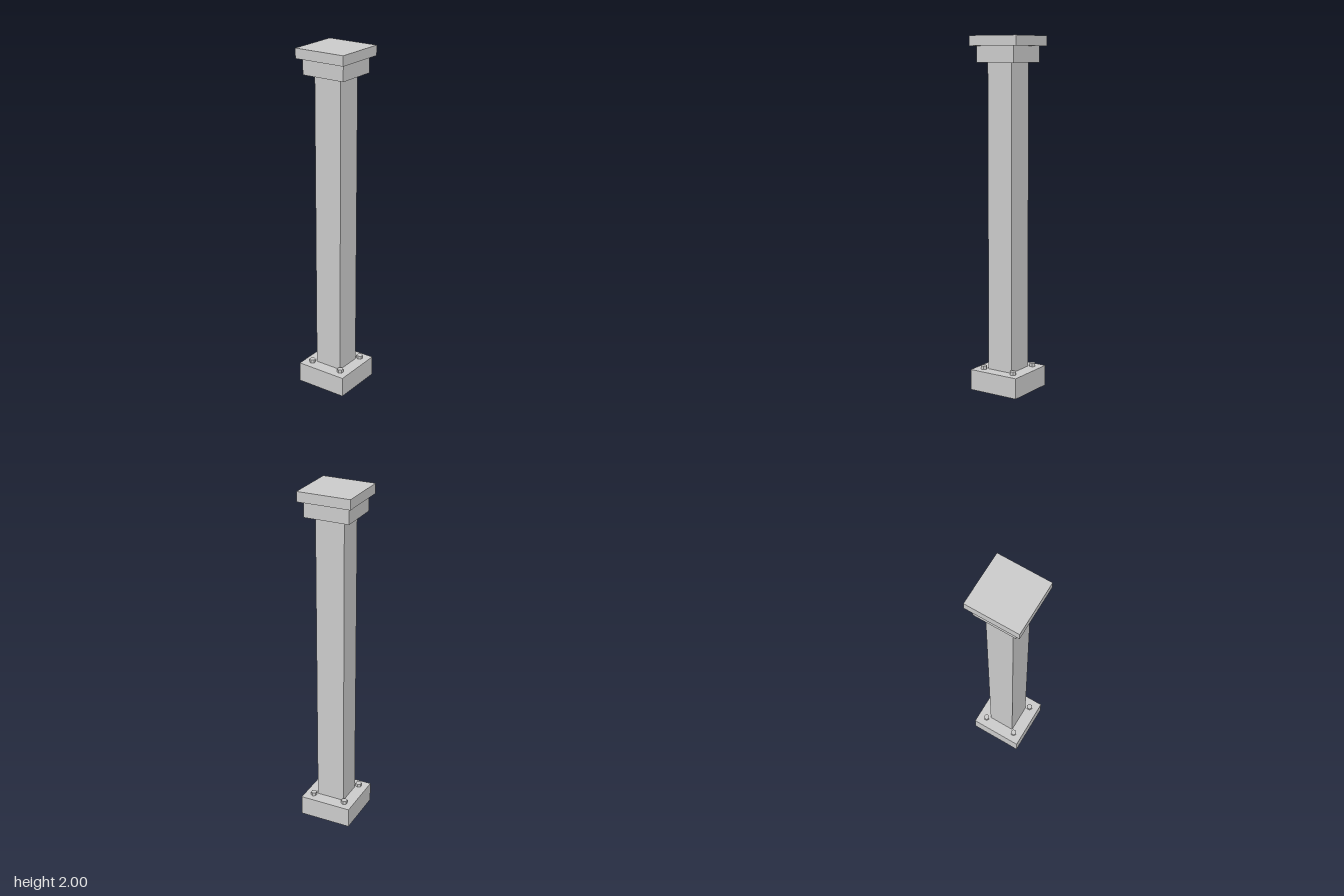
import * as THREE from 'three';

export function createModel() {
  const group = new THREE.Group();
  const material = new THREE.MeshStandardMaterial({ color: 0xcccccc, flatShading: true });

  const add = (name, geometry, x, y, z) => {
    const mesh = new THREE.Mesh(geometry, material);
    mesh.name = name;
    mesh.position.set(x, y, z);
    group.add(mesh);
  };
  // Centred block spanning y0 to y1
  const block = (name, width, depth, y0, y1) =>
    add(name, new THREE.BoxGeometry(width, y1 - y0, depth), 0, (y0 + y1) / 2, 0);

  block('base', 0.308, 0.308, 0, 0.118);
  block('shaft', 0.168, 0.158, 0.118, 1.853);
  block('capital', 0.262, 0.242, 1.853, 1.944);
  block('topSlab', 0.308, 0.308, 1.944, 2);

  // Hexagonal anchor bolts at the corners of the base
  const bolt = new THREE.CylinderGeometry(0.018, 0.018, 0.02, 6);
  for (const x of [-0.1, 0.1])
    for (const z of [-0.1, 0.1]) add('anchorBolt', bolt, x, 0.128, z);

  return group;
}
